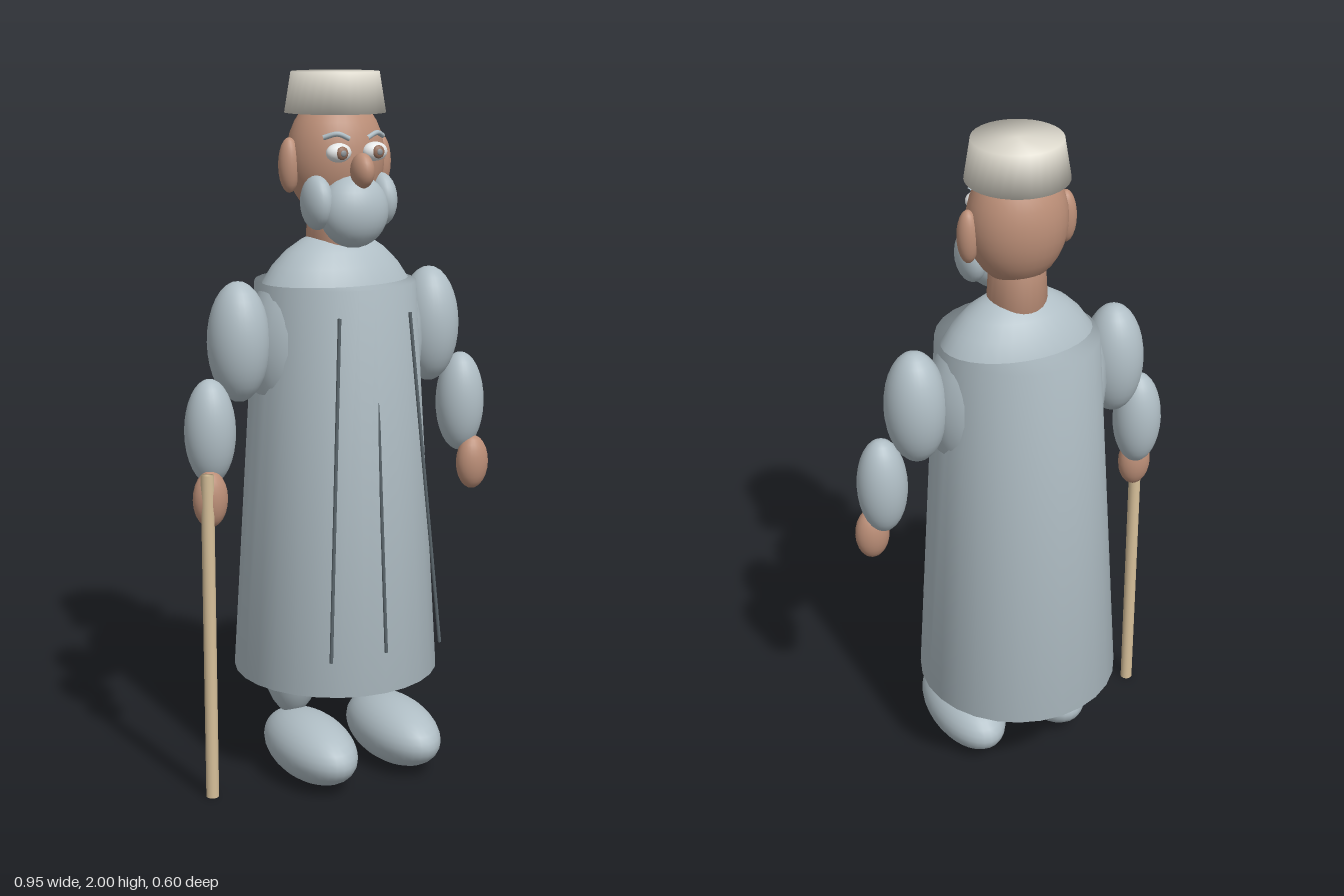
import * as THREE from 'three';
import { mergeVertices } from 'three/addons/utils/BufferGeometryUtils.js';

const material = (name, color) => {
  const m = new THREE.MeshStandardMaterial({ color });
  m.name = name;
  return m;
};

export function createModel() {
  const model = new THREE.Group();
  model.name = 'oldManWithStick';

  const cloth = material('greyBlueCloth', 0xb0bec5);
  const skin = material('skin', 0xbc8f78);
  const hatCloth = material('creamHat', 0xdedace);
  const wood = material('paleWood', 0xd7c09a);
  const crease = material('darkCrease', 0x59646a);
  const eyeWhite = material('eyeWhite', 0xe6e8e8);
  const iris = material('brownIris', 0x96705c);
  const pupil = material('greyPupil', 0x8d9296);

  const add = (name, geometry, mat, [x, y, z]) => {
    const mesh = new THREE.Mesh(geometry, mat);
    mesh.name = name;
    mesh.position.set(x, y, z);
    model.add(mesh);
    return mesh;
  };

  // Ellipsoid from its centre and half sizes
  const ball = (name, mat, centre, half, segments = 32) =>
    add(name, new THREE.SphereGeometry(1, segments, segments / 2).scale(...half), mat, centre);

  // Closed tapered cylinder with normals smoothed over its rims
  const drum = (name, mat, rTop, rBottom, y0, y1, x, z, segments) => {
    let g = new THREE.CylinderGeometry(rTop, rBottom, y1 - y0, segments);
    g.deleteAttribute('uv');
    g.deleteAttribute('normal');
    g = mergeVertices(g);
    g.computeVertexNormals();
    return add(name, g, mat, [x, (y0 + y1) / 2, z]);
  };

  // Thin rod between two points
  const rod = (name, mat, a, b, r) => {
    const from = new THREE.Vector3(...a), to = new THREE.Vector3(...b);
    const dir = to.clone().sub(from);
    const mid = from.clone().add(to).multiplyScalar(0.5);
    const mesh = add(name, new THREE.CylinderGeometry(r, r, dir.length(), 8), mat, mid.toArray());
    mesh.quaternion.setFromUnitVectors(new THREE.Vector3(0, 1, 0), dir.normalize());
  };

  // Body and robe
  ball('torso', cloth, [0, 1.25, -0.004], [0.265, 0.32, 0.18]);
  drum('robe', cloth, 0.226, 0.295, 0.3, 1.43, 0, -0.005, 28);
  for (const s of [-1, 0, 1])
    rod('robeCrease', crease, [s * 0.11, 1.36, 0.217], [s * 0.175, 0.42, 0.288], 0.005);

  // Head
  drum('neck', skin, 0.075, 0.085, 1.5, 1.68, 0, -0.004, 24);
  ball('head', skin, [0, 1.77, -0.004], [0.14, 0.175, 0.122]);
  drum('hat', hatCloth, 0.122, 0.14, 1.89, 2.0, 0, -0.006, 32);
  ball('nose', skin, [0, 1.742, 0.145], [0.03, 0.048, 0.042], 24);
  ball('beard', cloth, [0, 1.63, 0.1], [0.1, 0.1, 0.076]);

  for (const s of [-1, 1]) {
    // Face details
    ball('ear', skin, [s * 0.143, 1.752, -0.005], [0.03, 0.075, 0.031], 24);
    ball('whisker', cloth, [s * 0.1, 1.655, 0.072], [0.04, 0.074, 0.062], 24);
    ball('eye', eyeWhite, [s * 0.056, 1.79, 0.115], [0.037, 0.026, 0.025], 24);
    ball('iris', iris, [s * 0.056, 1.79, 0.135], [0.018, 0.018, 0.009], 16);
    ball('pupil', pupil, [s * 0.056, 1.79, 0.142], [0.009, 0.009, 0.004], 16);
    const browCurve = new THREE.CatmullRomCurve3([
      new THREE.Vector3(s * 0.028, 1.827, 0.123),
      new THREE.Vector3(s * 0.06, 1.84, 0.117),
      new THREE.Vector3(s * 0.092, 1.83, 0.095),
    ]);
    add('eyebrow', new THREE.TubeGeometry(browCurve, 10, 0.007, 8), cloth, [0, 0, 0]);

    // Arm
    ball('upperArm', cloth, [s * 0.305, 1.28, 0], [0.086, 0.167, 0.09]);
    ball('forearm', cloth, [s * 0.404, 1.043, 0.02], [0.071, 0.147, 0.07]);
    ball('hand', skin, [s * 0.425, 0.865, 0.06], [0.05, 0.08, 0.04], 24);

    // Leg and foot
    ball('leg', cloth, [s * 0.137, 0.42, -0.02], [0.1, 0.26, 0.105]);
    ball('foot', cloth, [s * 0.138, 0.1, 0.095], [0.108, 0.095, 0.204]);
  }

  // Walking stick
  drum('walkingStick', wood, 0.018, 0.018, 0.005, 0.94, -0.444, 0.083, 16);

  return model;
}
